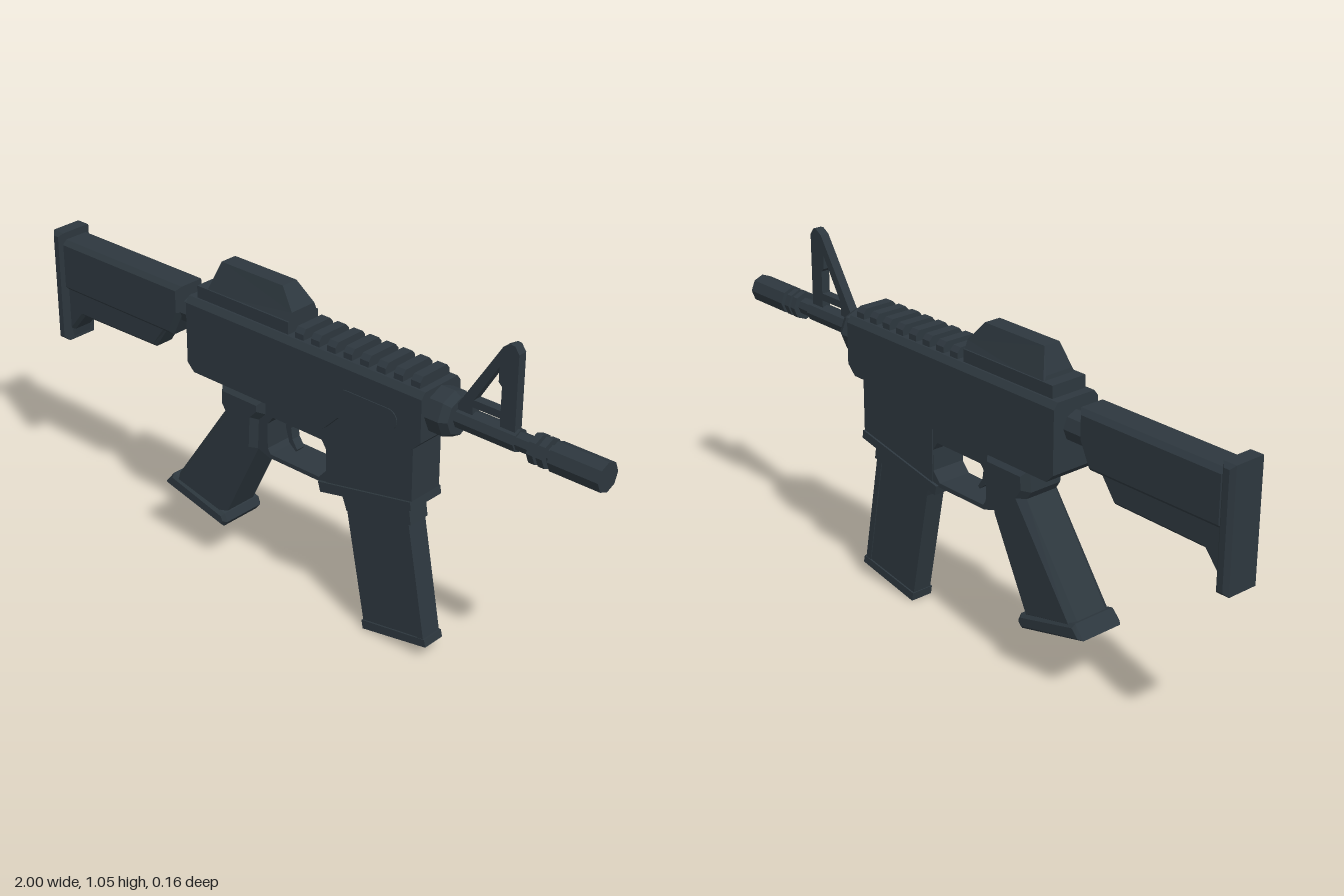
import * as THREE from 'three';

const AXIS_Y = 0.785; // height of the barrel line

export function createModel() {
  const model = new THREE.Group();
  const gunmetal = new THREE.MeshStandardMaterial({ color: 0x2d373e });
  gunmetal.name = 'gunmetal';

  const add = (name, geometry) => {
    const mesh = new THREE.Mesh(geometry, gunmetal);
    mesh.name = name;
    model.add(mesh);
    return mesh;
  };
  const toPoints = (list) => list.map(([x, y]) => new THREE.Vector2(x, y));

  // Side outline extruded symmetrically across z, with optional chamfer and holes
  const slab = (name, outline, half, chamfer = 0, holes = []) => {
    const shape = new THREE.Shape(toPoints(outline));
    holes.forEach((h) => shape.holes.push(new THREE.Path(toPoints(h))));
    const depth = 2 * (half - chamfer);
    const geometry = new THREE.ExtrudeGeometry(shape, {
      depth, bevelEnabled: chamfer > 0, bevelSegments: 1,
      bevelSize: chamfer, bevelThickness: chamfer, bevelOffset: -chamfer,
    });
    geometry.translate(0, 0, -depth / 2);
    return add(name, geometry);
  };

  // Mirrored cross-section of [half width, y] rows, extruded from x0 to x1
  const beam = (name, rows, x0, x1) => {
    const mirrored = rows.map(([z, y]) => [-z, y]).reverse();
    const geometry = new THREE.ExtrudeGeometry(
      new THREE.Shape(toPoints([...rows, ...mirrored])), { depth: x1 - x0, bevelEnabled: false });
    geometry.rotateY(Math.PI / 2).translate(x0, 0, 0);
    return add(name, geometry);
  };

  // Faceted eight-sided tube along the barrel line
  const octagon = (name, x0, x1, r0, r1 = r0, y = AXIS_Y) => {
    const indexed = new THREE.CylinderGeometry(r1, r0, x1 - x0, 8);
    indexed.rotateZ(-Math.PI / 2).translate((x0 + x1) / 2, y, 0);
    const geometry = indexed.toNonIndexed();
    geometry.computeVertexNormals();
    return add(name, geometry);
  };

  // Receiver
  slab('upperReceiver', [[-0.4, 0.65], [-0.375, 0.625], [0.125, 0.625], [0.18, 0.68],
    [0.44, 0.68], [0.47, 0.71], [0.47, 0.83], [-0.4, 0.83]], 0.08);
  beam('receiverTop', [[0.08, 0.83], [0.08, 0.838], [0.066, 0.856]], -0.4, 0.47);
  slab('lowerReceiver', [[-0.285, 0.64], [-0.27, 0.53], [-0.145, 0.45], [-0.1, 0.436],
    [0.16, 0.436], [0.16, 0.64]], 0.055, 0,
  [[[-0.107, 0.545], [-0.085, 0.572], [0.1, 0.572], [0.118, 0.545],
    [0.118, 0.48], [0.09, 0.449], [-0.096, 0.449], [-0.107, 0.465]]]);
  slab('magazineWell', [[0.118, 0.62], [0.18, 0.69], [0.428, 0.69], [0.428, 0.49],
    [0.12, 0.43]], 0.058);
  slab('magazineWellRim', [[0.095, 0.44], [0.428, 0.507], [0.432, 0.482], [0.103, 0.41]], 0.064);

  // Rounded port cover on the left-hand face
  const port = new THREE.Shape();
  port.absarc(0.21, 0.745, 0.03, Math.PI / 2, Math.PI * 1.5);
  port.absarc(0.36, 0.745, 0.03, -Math.PI / 2, Math.PI / 2);
  const portGeometry = new THREE.ExtrudeGeometry(port,
    { depth: 0.004, bevelEnabled: false, curveSegments: 6 });
  add('portCover', portGeometry.translate(0, 0, 0.079));

  // Curved trigger
  slab('trigger', [[-0.068, 0.58], [-0.073, 0.53], [-0.06, 0.485], [-0.035, 0.465],
    [-0.03, 0.472], [-0.048, 0.5], [-0.053, 0.535], [-0.04, 0.58]], 0.015);

  // Grip
  slab('grip', [[-0.285, 0.62], [-0.29, 0.555], [-0.273, 0.53], [-0.49, 0.22], [-0.285, 0.17],
    [-0.145, 0.45], [-0.14, 0.545], [-0.113, 0.572], [-0.113, 0.62]], 0.074, 0.02);
  slab('gripBase', [[-0.52, 0.2], [-0.487, 0.24], [-0.273, 0.185], [-0.262, 0.16],
    [-0.278, 0.14]], 0.08, 0.01);

  // Magazine
  slab('magazine', [[0.16, 0.45], [0.245, 0.015], [0.465, 0.055], [0.385, 0.5]], 0.032);
  slab('magazineCollar', [[0.153, 0.43], [0.178, 0.365], [0.41, 0.415], [0.398, 0.49]], 0.036);
  slab('magazineFrontRib', [[0.37, 0.47], [0.447, 0.05], [0.467, 0.055], [0.39, 0.48]], 0.035);
  slab('magazineFoot', [[0.24, 0.027], [0.245, 0], [0.476, 0.043], [0.471, 0.066]], 0.037);

  // Stock
  octagon('stockTube', -0.6, -0.39, 0.045, 0.045, 0.775);
  slab('stockBody', [[-0.97, 0.69], [-0.497, 0.69], [-0.458, 0.77], [-0.458, 0.855],
    [-0.97, 0.855]], 0.053, 0.014);
  slab('stockLower', [[-0.975, 0.705], [-0.975, 0.525], [-0.955, 0.53], [-0.95, 0.555],
    [-0.9, 0.615], [-0.583, 0.62], [-0.525, 0.705]], 0.04, 0.01);
  slab('buttPlate', [[-1, 0.52], [-0.957, 0.52], [-0.957, 0.878], [-1, 0.878]], 0.061, 0.012);

  // Rear sight housing and its base
  slab('rearSightBase', [[-0.372, 0.85], [-0.02, 0.85], [-0.02, 0.893], [-0.372, 0.893]], 0.06);
  const sight = slab('rearSight', [[-0.337, 0.88], [-0.02, 0.88], [-0.02, 0.917],
    [-0.07, 0.976], [-0.305, 0.976], [-0.332, 0.905]], 0.06);
  const position = sight.geometry.attributes.position;
  for (let i = 0; i < position.count; i++) {
    const y = position.getY(i);
    if (y > 0.9) position.setZ(i, position.getZ(i) * (y > 0.95 ? 0.45 : 0.75));
  }
  sight.geometry.computeVertexNormals();

  // Rail teeth
  for (let i = 0; i < 8; i++) {
    const x = 0.005 + i * 0.0588;
    beam('railTooth', [[0.06, 0.85], [0.06, 0.873], [0.048, 0.887]], x, x + 0.031);
  }

  // Barrel and muzzle
  octagon('barrelCollar', 0.46, 0.515, 0.068);
  octagon('barrelCollarTaper', 0.515, 0.537, 0.068, 0.055);
  octagon('barrelRear', 0.52, 0.73, 0.032);
  octagon('barrel', 0.7, 0.86, 0.026);
  octagon('muzzleRing', 0.78, 0.8, 0.043);
  octagon('muzzleRing', 0.81, 0.83, 0.043);
  octagon('muzzle', 0.845, 1, 0.043);

  // Front sight frame with two openings
  slab('frontSight', [[0.535, 0.79], [0.535, 0.825], [0.672, 1.037], [0.695, 1.051],
    [0.708, 1.05], [0.722, 1.03], [0.722, 0.79]], 0.014, 0, [
    [[0.588, 0.856], [0.674, 0.856], [0.674, 0.925], [0.663, 0.935], [0.663, 0.978]],
    [[0.585, 0.808], [0.674, 0.808], [0.674, 0.834], [0.585, 0.834]],
  ]);

  return model;
}
